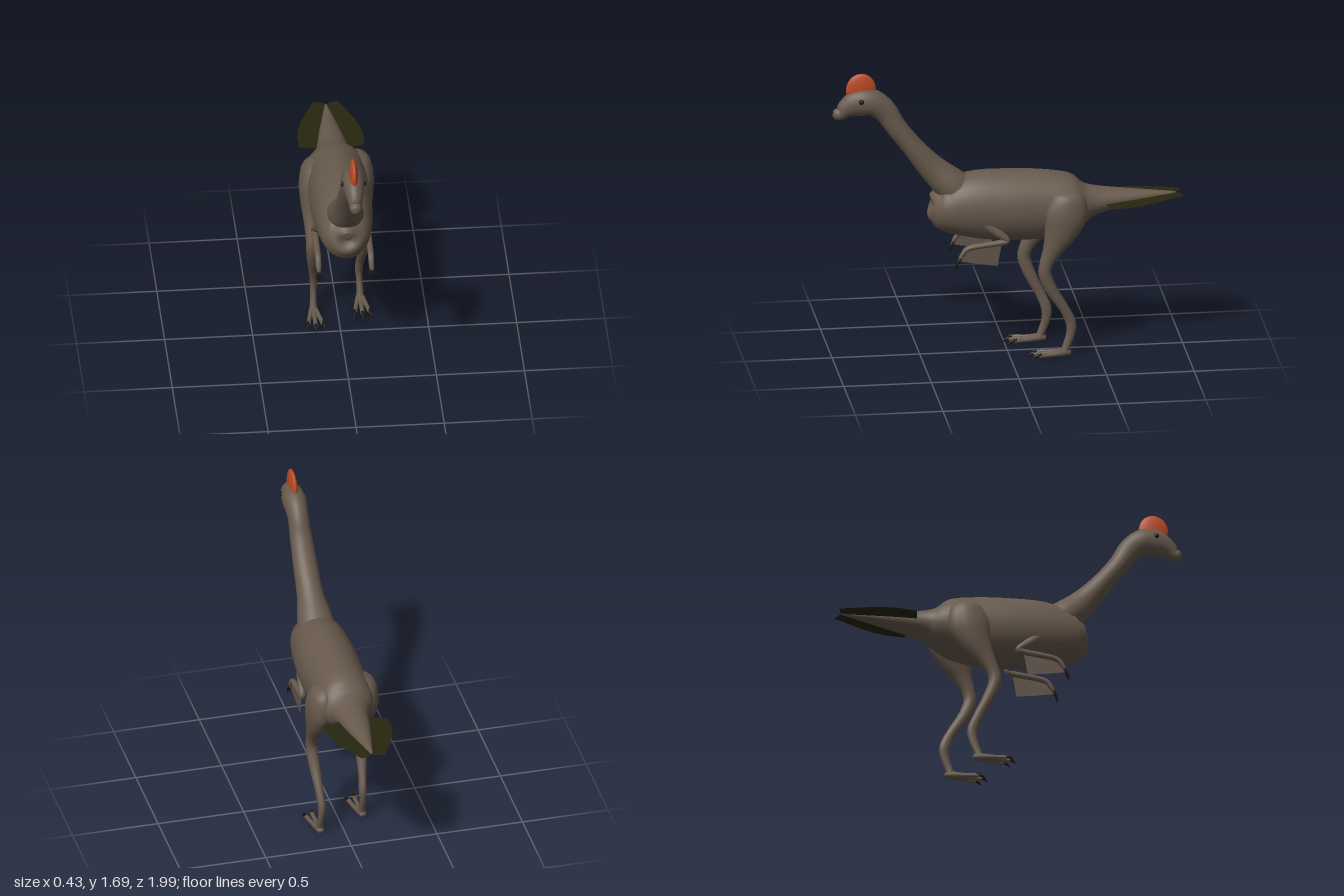
import * as THREE from 'three';

const mat = (name, color, side = THREE.FrontSide) => {
  const m = new THREE.MeshStandardMaterial({ color, side });
  m.name = name;
  return m;
};

// Smooth skin over elliptical rings; each section is [x, y, z, halfWidth, halfDepth]
function loft(sections, sides = 20, perSpan = 4) {
  const path = new THREE.CatmullRomCurve3(sections.map(s => new THREE.Vector3(s[0], s[1], s[2])), false, 'catmullrom', 0.5);
  const size = new THREE.CatmullRomCurve3(sections.map(s => new THREE.Vector3(s[3], s[4], 0)), false, 'catmullrom', 0.5);
  const rings = (sections.length - 1) * perSpan;
  const pos = [], index = [];
  const X = new THREE.Vector3(1, 0, 0);
  for (let i = 0; i <= rings; i++) {
    const t = i / rings;
    const p = path.getPoint(t), r = size.getPoint(t), T = path.getTangent(t);
    const N = new THREE.Vector3().crossVectors(X, T).normalize();
    for (let j = 0; j < sides; j++) {
      const a = j / sides * Math.PI * 2;
      const v = p.clone().addScaledVector(X, Math.cos(a) * Math.max(r.x, 0.001))
        .addScaledVector(N, Math.sin(a) * Math.max(r.y, 0.001));
      pos.push(v.x, v.y, v.z);
      if (i < rings) {
        const k = (j + 1) % sides;
        const A = i * sides + j, B = i * sides + k, C = A + sides, D = B + sides;
        index.push(A, C, B, B, C, D);
      }
    }
  }
  // End caps
  [0, 1].forEach(end => {
    const c = path.getPoint(end), centre = pos.length / 3, base = end * rings * sides;
    pos.push(c.x, c.y, c.z);
    for (let j = 0; j < sides; j++) {
      const A = base + j, B = base + (j + 1) % sides;
      if (end) index.push(centre, B, A); else index.push(centre, A, B);
    }
  });
  const g = new THREE.BufferGeometry();
  g.setAttribute('position', new THREE.Float32BufferAttribute(pos, 3));
  g.setIndex(index);
  g.computeVertexNormals();
  return g;
}

export function createModel() {
  const skin = mat('brown skin', 0x67594c);
  const web = mat('brown arm feathers', 0x64564a, THREE.DoubleSide);
  const crestRed = mat('orange crest', 0xb84a24);
  const olive = mat('dark olive tail feathers', 0x26260f, THREE.DoubleSide);
  const dark = mat('dark claws and eyes', 0x17140f);

  const model = new THREE.Group();
  model.name = 'crestedDinosaur';
  const add = (name, geo, material, parent = model) => {
    const m = new THREE.Mesh(geo, material);
    m.name = name;
    parent.add(m);
    return m;
  };

  // Body and tail: z, top, bottom, half width
  const body = [
    [0.435, 0.93, 0.91, 0.01], [0.425, 0.99, 0.85, 0.07], [0.39, 1.03, 0.78, 0.115],
    [0.32, 1.05, 0.725, 0.145], [0.18, 1.085, 0.69, 0.165], [0, 1.085, 0.672, 0.175],
    [-0.18, 1.075, 0.67, 0.17], [-0.34, 1.05, 0.70, 0.165], [-0.42, 1.0, 0.75, 0.145],
    [-0.5, 0.965, 0.80, 0.1], [-0.7, 0.94, 0.845, 0.062], [-0.96, 0.912, 0.9, 0.006],
  ].map(([z, top, low, w]) => [0, (top + low) / 2, z, w, (top - low) / 2]);
  add('bodyAndTail', loft(body, 32), skin);

  // Neck, head and beak
  add('neckAndHead', loft([
    [0, 0.9, 0.18, 0.1, 0.1], [0, 1.0, 0.31, 0.105, 0.1], [0, 1.115, 0.43, 0.077, 0.078],
    [0, 1.24, 0.535, 0.07, 0.062], [0, 1.37, 0.635, 0.064, 0.06], [0, 1.47, 0.7, 0.06, 0.068],
    [0, 1.525, 0.78, 0.068, 0.078], [0, 1.52, 0.86, 0.06, 0.078], [0, 1.495, 0.915, 0.046, 0.058],
    [0, 1.465, 0.948, 0.035, 0.04], [0, 1.457, 0.975, 0.033, 0.034], [0, 1.453, 0.99, 0.02, 0.022],
    [0, 1.452, 0.997, 0.003, 0.003],
  ], 24), skin);

  // Dome-shaped head crest
  const crest = add('crest', new THREE.SphereGeometry(1, 24, 14, 0, Math.PI * 2, 0, Math.PI * 0.56), crestRed);
  crest.scale.set(0.024, 0.095, 0.086);
  crest.position.set(0, 1.6, 0.835);

  for (const s of [1, -1]) {
    const side = s > 0 ? 'left' : 'right';

    const eye = add(side + 'Eye', new THREE.SphereGeometry(0.015, 12, 8), dark);
    eye.position.set(s * 0.057, 1.545, 0.84);

    // Tail feather fan
    const fan = new THREE.Shape([
      [0, -0.56], [0.08, -0.55], [0.185, -0.575], [0.187, -0.68], [0.175, -0.75],
      [0.148, -0.83], [0.07, -0.998], [0.008, -0.98],
    ].map(([x, z]) => new THREE.Vector2(s * x, -z)));
    const fanGeo = new THREE.ShapeGeometry(fan);
    fanGeo.rotateX(-Math.PI / 2 + 0.06);
    const tailFeather = add(side + 'TailFeather', fanGeo, olive);
    tailFeather.position.y = 0.847;

    // Folded arm with feather web and claws
    const arm = new THREE.Group();
    arm.name = side + 'Arm';
    model.add(arm);
    const ax = s * 0.15;
    add('armBones', loft([
      [s * 0.12, 0.84, 0.17, 0.03, 0.035], [s * 0.14, 0.77, 0.09, 0.025, 0.028],
      [ax, 0.715, 0.02, 0.02, 0.018], [ax, 0.7, 0.06, 0.018, 0.018], [ax, 0.69, 0.15, 0.018, 0.017],
      [ax, 0.675, 0.24, 0.017, 0.016], [ax, 0.64, 0.275, 0.016, 0.014], [ax, 0.6, 0.295, 0.013, 0.008],
    ], 12), skin, arm);
    const webGeo = new THREE.ShapeGeometry(new THREE.Shape([
      [0.05, 0.7], [0.065, 0.62], [0.075, 0.562], [0.18, 0.578], [0.295, 0.6], [0.27, 0.66], [0.2, 0.69],
    ].map(([z, y]) => new THREE.Vector2(z, y))));
    webGeo.rotateY(-Math.PI / 2);
    add('armFeathers', webGeo, web, arm).position.x = ax;
    for (const f of [-1, 0, 1]) {
      const fx = ax + f * 0.012;
      add('fingerClaw', loft([
        [fx, 0.62, 0.285, 0.005, 0.006], [fx, 0.585, 0.305, 0.005, 0.006], [fx, 0.552, 0.313, 0.001, 0.001],
      ], 8), dark, arm);
    }

    // Leg; the right one steps forward
    const leg = new THREE.Group();
    leg.name = side + 'Leg';
    model.add(leg);
    const step = s > 0 ? 0 : 1;
    const section = ([x, y, z, w, d, shift]) => [s * x, y, z + step * shift, w, d];
    add('thighAndShin', loft([
      [0.12, 0.99, -0.34, 0.02, 0.03, 0.05], [0.128, 0.95, -0.335, 0.065, 0.095, 0.05],
      [0.135, 0.85, -0.315, 0.08, 0.125, 0.05], [0.143, 0.75, -0.285, 0.067, 0.098, 0.055],
      [0.15, 0.65, -0.24, 0.046, 0.058, 0.065], [0.152, 0.57, -0.205, 0.036, 0.04, 0.075],
      [0.153, 0.5, -0.195, 0.034, 0.037, 0.08], [0.147, 0.4, -0.235, 0.032, 0.034, 0.085],
      [0.14, 0.29, -0.305, 0.024, 0.028, 0.1], [0.133, 0.2, -0.345, 0.022, 0.03, 0.105],
      [0.135, 0.13, -0.342, 0.018, 0.025, 0.105], [0.137, 0.06, -0.318, 0.02, 0.022, 0.105],
      [0.137, 0.02, -0.305, 0.024, 0.025, 0.105],
    ].map(section), 18), skin, leg);

    // Three toes, each ending in a claw
    for (const f of [-1, 0, 1]) {
      const tipZ = f ? -0.165 : -0.14;
      const x = k => 0.137 + f * k;
      add('toe', loft([
        [x(0.006), 0.024, -0.342, 0.01, 0.012, 0.105], [x(0.01), 0.026, -0.3, 0.018, 0.02, 0.105],
        [x(0.028), 0.022, -0.23, 0.013, 0.013, 0.105], [x(0.04), 0.022, tipZ, 0.012, 0.013, 0.105],
        [x(0.042), 0.021, tipZ + 0.012, 0.004, 0.004, 0.105],
      ].map(section), 10), skin, leg);
      add('toeClaw', loft([
        [x(0.04), 0.026, tipZ - 0.008, 0.01, 0.01, 0.105], [x(0.046), 0.024, tipZ + 0.02, 0.008, 0.009, 0.105],
        [x(0.052), 0.004, tipZ + 0.048, 0.001, 0.001, 0.105],
      ].map(section), 8), dark, leg);
    }
  }
  return model;
}
